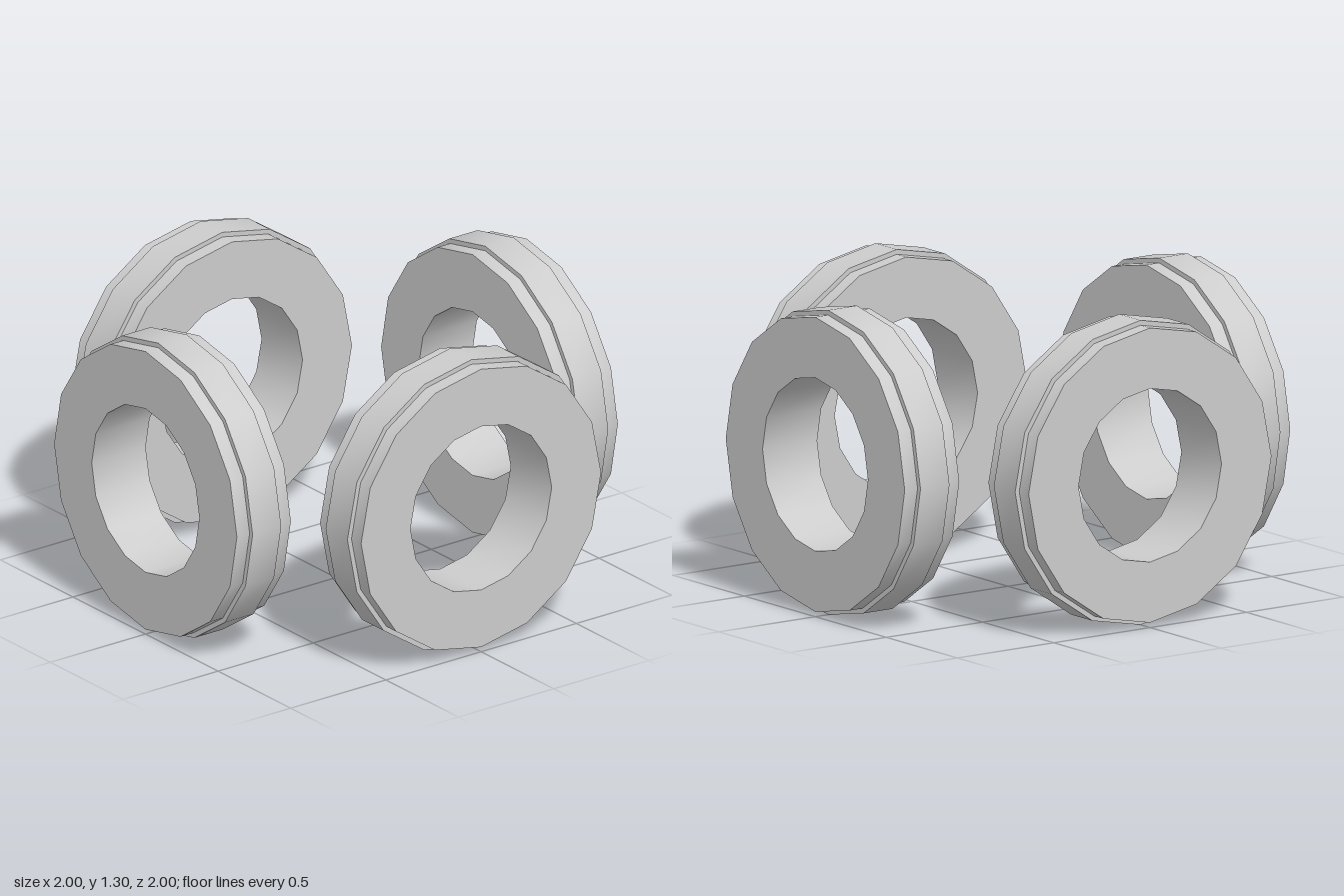
import * as THREE from 'three';
import { toCreasedNormals } from 'three/addons/utils/BufferGeometryUtils.js';

const SIDES = 16;
const BORE = 0.371, RIM = 0.63, BAND = 0.651; // radii
const HALF_WIDTH = 0.1415, HALF_BAND = 0.075;
const OFFSET = 1 - HALF_WIDTH; // ring centre from the middle

// Closed ring section with a raised band around the middle, revolved about y
function ringGeometry() {
  const profile = [
    [BORE, -HALF_WIDTH], [RIM, -HALF_WIDTH],
    [RIM, -HALF_BAND], [BAND, -HALF_BAND],
    [BAND, HALF_BAND], [RIM, HALF_BAND],
    [RIM, HALF_WIDTH], [BORE, HALF_WIDTH],
    [BORE, -HALF_WIDTH],
  ].map(([r, y]) => new THREE.Vector2(r, y));
  return toCreasedNormals(new THREE.LatheGeometry(profile, SIDES), Math.PI / 4);
}

export function createModel() {
  const model = new THREE.Group();
  model.name = 'fourRings';
  const grey = new THREE.MeshStandardMaterial({ color: 0xcccccc });
  grey.name = 'light grey';

  // Axis along y, tipped to face outward
  const geometry = ringGeometry().rotateX(Math.PI / 2);

  // One ring on each side of a square
  ['frontRing', 'leftRing', 'backRing', 'rightRing'].forEach((name, i) => {
    const angle = i * Math.PI / 2;
    const ring = new THREE.Mesh(geometry, grey);
    ring.name = name;
    ring.rotation.y = angle;
    ring.position.set(Math.sin(angle) * OFFSET, BAND, Math.cos(angle) * OFFSET);
    model.add(ring);
  });
  return model;
}
